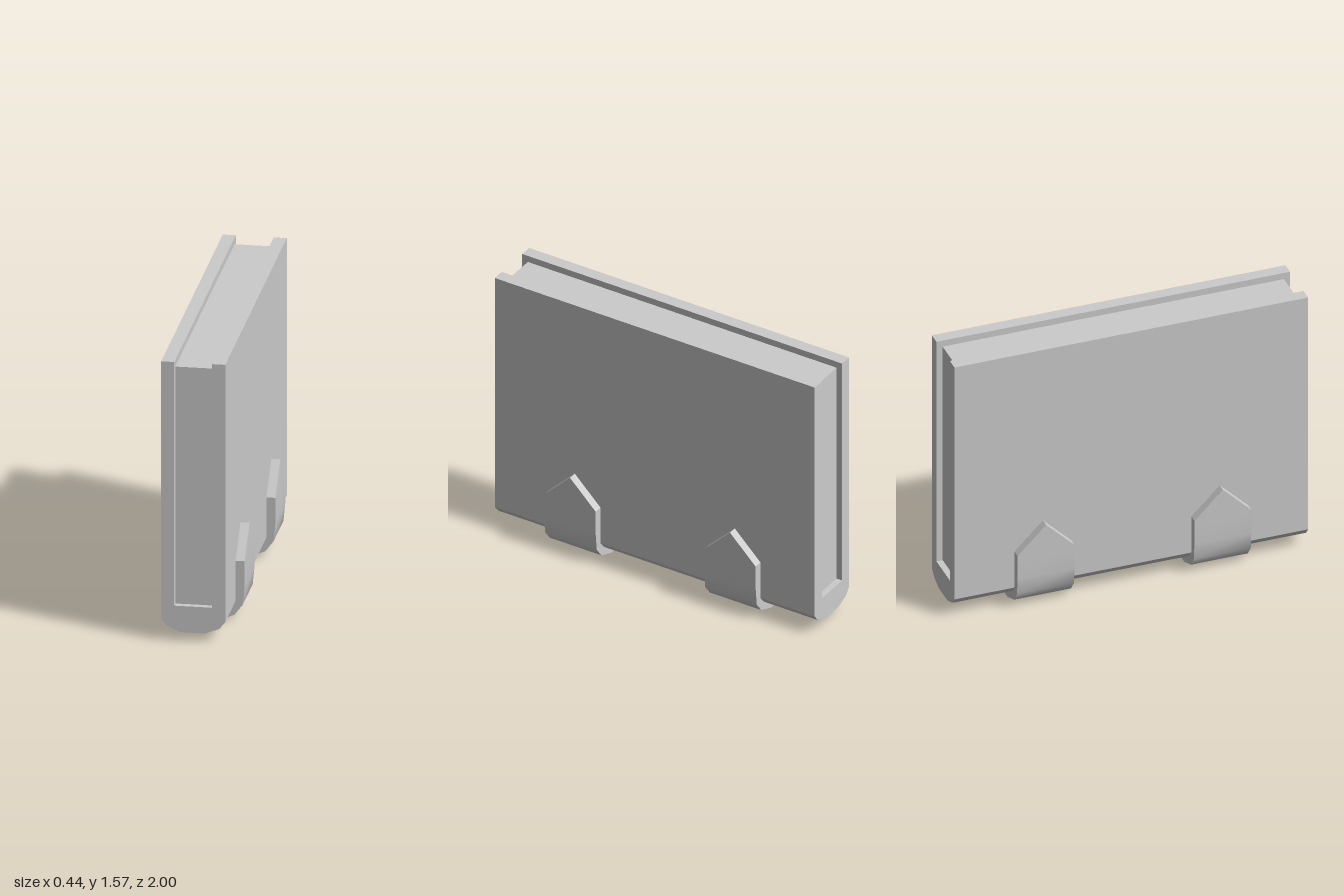
import * as THREE from 'three';
import { toCreasedNormals } from 'three/addons/utils/BufferGeometryUtils.js';

const material = new THREE.MeshStandardMaterial({ color: 0xcccccc });

// U-shaped profile from the right halves of its outer and inner outlines (top to bottom)
function channelShape(outer, inner) {
  const mirror = (half) => half.map(([x, y]) => [-x, y]).reverse();
  const points = [...mirror(outer).reverse(), ...outer.slice().reverse(),
    ...inner, ...mirror(inner)];
  return new THREE.Shape(points.map(([x, y]) => new THREE.Vector2(x, y)));
}

// Extrude along z, centred, smooth below the crease angle
function extrude(shape, depth, creaseDegrees) {
  const geometry = new THREE.ExtrudeGeometry(shape, { depth, bevelEnabled: false });
  geometry.translate(0, 0, -depth / 2);
  return toCreasedNormals(geometry, THREE.MathUtils.degToRad(creaseDegrees));
}

function part(name, geometry) {
  const mesh = new THREE.Mesh(geometry, material);
  mesh.name = name;
  return mesh;
}

export function createModel() {
  const model = new THREE.Group();
  model.name = 'book';

  // Rounded outline of the spine, shared by the cover and the straps
  const spine = [[0.172, 0.12], [0.14, 0.08], [0.065, 0.05]];

  // Cover: two boards joined by the rounded spine
  const cover = channelShape([[0.172, 1.57], ...spine], [[0.102, 1.57], [0.102, 0.197]]);
  model.add(part('cover', extrude(cover, 2, 35)));

  // Page block, slightly recessed on its three open sides
  const pages = part('pages', new THREE.BoxGeometry(0.204, 1.335, 1.93));
  pages.position.y = 0.197 + 1.335 / 2;
  model.add(pages);

  // Straps wrapped around the spine, with a pointed tip on each board
  const shoulder = 0.345;
  const strapShape = channelShape(
    [[0.22, shoulder], [0.22, 0.2], [0.21, 0.1], [0.165, 0.04], [0.065, 0]],
    [[0.172, shoulder], ...spine]);
  const strapGeometry = extrude(strapShape, 0.322, 42);
  const tipShape = new THREE.Shape([
    new THREE.Vector2(-0.161, 0), new THREE.Vector2(0.161, 0), new THREE.Vector2(0, 0.16)]);
  const tipGeometry = extrude(tipShape, 0.048, 20).rotateY(Math.PI / 2);

  for (const [name, z] of [['frontStrap', 0.5], ['backStrap', -0.5]]) {
    const strap = new THREE.Group();
    strap.name = name;
    strap.position.z = z;
    strap.add(part('strapBand', strapGeometry));
    for (const [tipName, side] of [['leftTip', 1], ['rightTip', -1]]) {
      const tip = part(tipName, tipGeometry);
      tip.position.set(side * 0.196, shoulder, 0);
      strap.add(tip);
    }
    model.add(strap);
  }
  return model;
}
